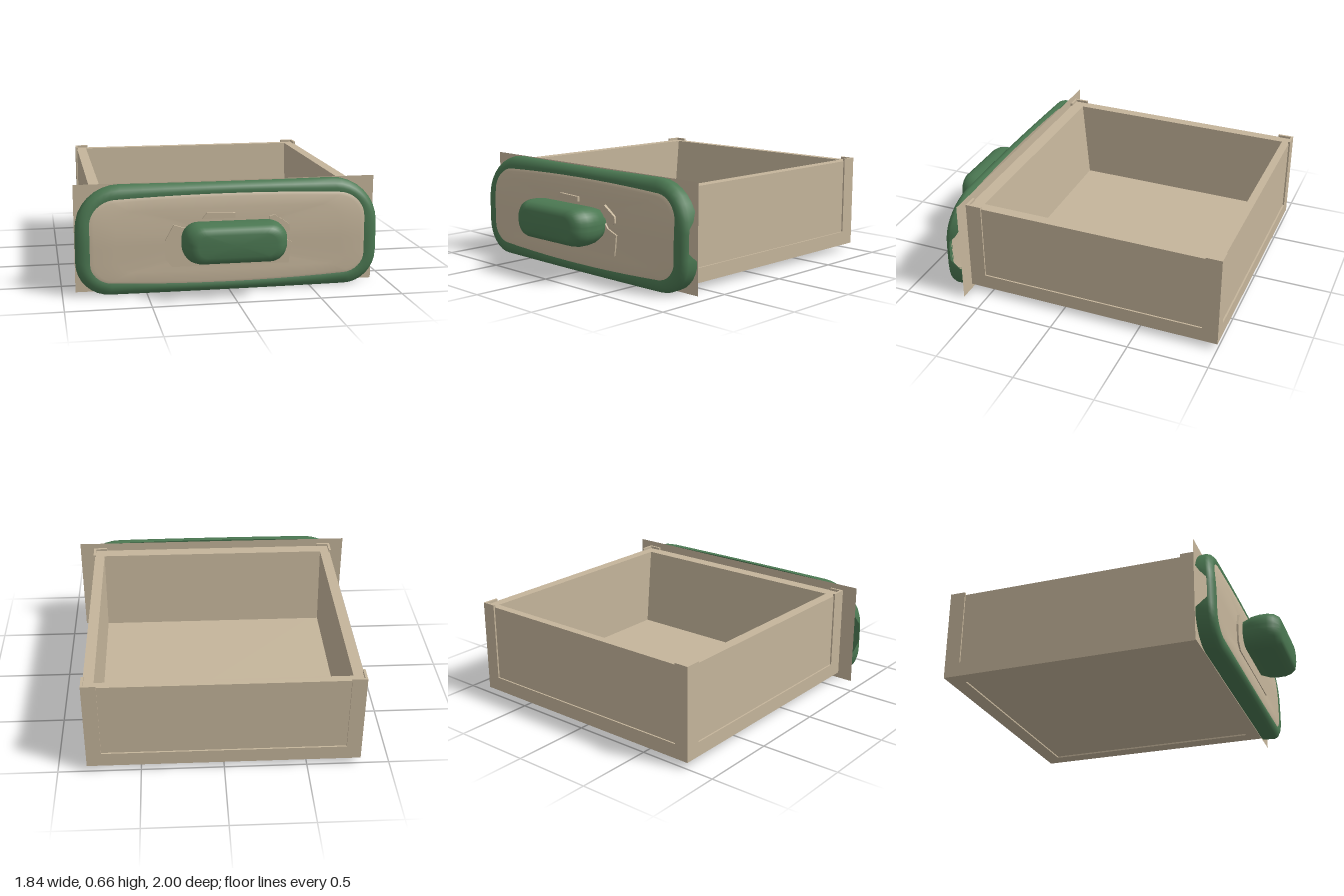
import * as THREE from 'three';

const wood = new THREE.MeshStandardMaterial({ color: 0xc5b59b, side: THREE.DoubleSide });
wood.name = 'tan wood';
const paint = new THREE.MeshStandardMaterial({ color: 0x4b7852, side: THREE.DoubleSide });
paint.name = 'green paint';

function add(group, name, geometry, material, x = 0, y = 0, z = 0) {
  const mesh = new THREE.Mesh(geometry, material);
  mesh.name = name;
  mesh.position.set(x, y, z);
  group.add(mesh);
}

// box given by its minimum and maximum corners
function block(group, name, x0, x1, y0, y1, z0, z1) {
  add(group, name, new THREE.BoxGeometry(x1 - x0, y1 - y0, z1 - z0), wood,
    (x0 + x1) / 2, (y0 + y1) / 2, (z0 + z1) / 2);
}

// points of a rounded rectangle, counter-clockwise from the front
function roundedLoop(hx, hy, rTop, rBottom, cy) {
  const corners = [[1, 1, rTop], [-1, 1, rTop], [-1, -1, rBottom], [1, -1, rBottom]];
  const at = (c, a) => {
    const [sx, sy, r] = corners[c % 4];
    return [sx * (hx - r) + r * Math.cos(a), cy + sy * (hy - r) + r * Math.sin(a)];
  };
  const points = [];
  for (let c = 0; c < 4; c++) {
    for (let i = 0; i <= 8; i++) points.push(at(c, (c + i / 8) * Math.PI / 2));
    const a = (c + 1) * Math.PI / 2, from = at(c, a), to = at(c + 1, a);
    for (let i = 1; i < 10; i++) points.push([0, 1].map(k => from[k] + (to[k] - from[k]) * i / 10));
  }
  return points;
}

// skin over loops [halfWidth, halfHeight, topRadius, bottomRadius, z, bow], optionally closed in front
function loft(sections, cy, depth = (x, y, z) => z, cap = false) {
  const positions = [], index = [];
  let n = 0;
  sections.forEach(([hx, hy, rTop, rBottom, z, bow = 0], s) => {
    const loop = roundedLoop(hx, hy, rTop, rBottom, cy);
    n = loop.length;
    loop.forEach(([x, y]) => {
      const by = cy + (y - cy) * (1 - bow * (x / hx) ** 2);
      positions.push(x, by, depth(x, by, z, s));
    });
  });
  for (let s = 0; s < sections.length - 1; s++) {
    for (let i = 0; i < n; i++) {
      const j = (i + 1) % n, a = s * n, b = a + n;
      index.push(a + i, a + j, b + j, a + i, b + j, b + i);
    }
  }
  if (cap) {
    const last = sections.length - 1, centre = positions.length / 3;
    positions.push(0, cy, depth(0, cy, sections[last][4], last));
    for (let i = 0; i < n; i++) index.push(last * n + i, last * n + (i + 1) % n, centre);
  }
  const geometry = new THREE.BufferGeometry();
  geometry.setAttribute('position', new THREE.Float32BufferAttribute(positions, 3));
  geometry.setIndex(index);
  geometry.computeVertexNormals();
  return geometry;
}

function buildDrawerBox() {
  const box = new THREE.Group();
  box.name = 'drawerBox';
  const X = 0.825, B = -1, F = 0.63, t = 0.015;

  block(box, 'floor', -0.8, 0.8, 0.05, 0.09, -0.97, 0.6);

  for (const s of [-1, 1]) {
    const span = (a, b) => (s > 0 ? [a, b] : [-b, -a]);
    block(box, 'sideWall', ...span(0.75, 0.815), 0.06, 0.61, B + 0.01, F - 0.01);
    block(box, 'sideRail', ...span(X - t, X), 0.04, 0.13, B, F);
    block(box, 'bottomSideBorder', ...span(X - 0.1, X - t), 0.04, 0.06, B + t, F - t);
    // L-shaped corner posts
    for (const [z, d] of [[B, 1], [F, -1]]) {
      const zs = (a, b) => [Math.min(z + d * a, z + d * b), Math.max(z + d * a, z + d * b)];
      block(box, 'cornerPostSide', ...span(X - t, X), 0.13, 0.625, ...zs(0, 0.1));
      block(box, 'cornerPostEnd', ...span(X - 0.09, X - t), 0.13, 0.625, ...zs(0, t));
    }
  }

  // end walls whose inner faces lean outward; the front one is thicker
  for (const [name, z, d, w] of [['backWall', B, 1, 0.06], ['frontWall', F, -1, 0.09]]) {
    const profile = [[0.01, 0.06], [0.01, 0.61], [w, 0.61], [w + 0.05, 0.09], [w + 0.05, 0.06]];
    const shape = new THREE.Shape(profile.map(([p, y]) => new THREE.Vector2(z + d * p, y)));
    const wall = new THREE.ExtrudeGeometry(shape, { depth: 1.5, bevelEnabled: false });
    wall.translate(0, 0, -0.75).rotateY(-Math.PI / 2);
    add(box, name, wall, wood);
    const ends = (a, b) => [Math.min(z + d * a, z + d * b), Math.max(z + d * a, z + d * b)];
    block(box, 'endRail', -X + t, X - t, 0.04, 0.13, ...ends(0, t));
    block(box, 'bottomEndBorder', -X + 0.1, X - 0.1, 0.04, 0.06, ...ends(t, 0.1));
  }
  return box;
}

function buildFront() {
  const front = new THREE.Group();
  front.name = 'drawerFront';
  const cy = 0.328;

  // flat backing sheet
  add(front, 'backingSheet', new THREE.PlaneGeometry(1.84, 0.656), wood, 0, 0.328, 0.638);

  // the face leans back toward its top edge and slightly toward its ends
  const lean = (x, y, z) => z - 0.045 * Math.max(0, (y - 0.3) / 0.36) ** 2 - 0.012 * (x / 0.92) ** 2;

  // the rim's back edge is notched at the sides and arched along the top
  const rimDepth = (x, y, z, s) => {
    if (s > 0) return lean(x, y, z);
    if (Math.abs(x) > 0.85) {
      const k = THREE.MathUtils.clamp((0.13 - Math.abs(y - 0.33)) / 0.06, 0, 1);
      return z + 0.075 * k;
    }
    return y > 0.5 ? z + 0.02 * Math.max(0, 1 - (x / 0.7) ** 2) : z;
  };
  const rim = [
    [0.918, 0.326, 0.27, 0.2, 0.64], [0.92, 0.328, 0.27, 0.2, 0.725],
    [0.912, 0.322, 0.265, 0.195, 0.745], [0.89, 0.305, 0.235, 0.175, 0.76, 0.03],
    [0.86, 0.285, 0.19, 0.15, 0.764, 0.07], [0.832, 0.266, 0.15, 0.12, 0.757, 0.1],
  ];
  add(front, 'greenRim', loft(rim, cy, rimDepth), paint);

  // gently domed centre panel
  const panel = [
    [0.84, 0.27, 0.155, 0.125, 0.757, 0.1], [0.81, 0.252, 0.14, 0.11, 0.762, 0.1],
    [0.68, 0.19, 0.11, 0.09, 0.762, 0.05], [0.4, 0.12, 0.08, 0.08, 0.755],
  ];
  add(front, 'centrePanel', loft(panel, cy - 0.004, lean, true), wood);

  // uneven raised patches around the knob
  const patches = [
    [[-0.35, 0.165], [0.36, 0.16], [0.375, 0.29], [0.3, 0.32], [0.24, 0.4],
      [-0.28, 0.4], [-0.34, 0.42], [-0.39, 0.33], [-0.39, 0.21]],
    [[0.24, 0.4], [0.34, 0.35], [0.365, 0.36], [0.36, 0.4], [0.27, 0.46], [0.24, 0.45]],
    [[-0.17, 0.45], [0.03, 0.45], [0.03, 0.48], [-0.14, 0.485]],
  ];
  for (const outline of patches) {
    const shape = new THREE.Shape(outline.map(([x, y]) => new THREE.Vector2(x, y)));
    add(front, 'knobPatch',
      new THREE.ExtrudeGeometry(shape, { depth: 0.02, bevelEnabled: false }), wood, 0, 0, 0.744);
  }

  // soft, wide knob
  const knob = [
    [0.275, 0.085, 0.08, 0.08, 0.745], [0.285, 0.098, 0.085, 0.085, 0.78],
    [0.303, 0.111, 0.095, 0.095, 0.82], [0.31, 0.117, 0.1, 0.1, 0.87],
    [0.308, 0.117, 0.1, 0.1, 0.92], [0.295, 0.11, 0.095, 0.095, 0.96],
    [0.268, 0.094, 0.08, 0.08, 0.988], [0.23, 0.066, 0.06, 0.06, 1],
  ];
  add(front, 'knob', loft(knob, 0.338, undefined, true), paint);
  return front;
}

export function createModel() {
  const model = new THREE.Group();
  model.name = 'drawer';
  model.add(buildDrawerBox(), buildFront());
  return model;
}
